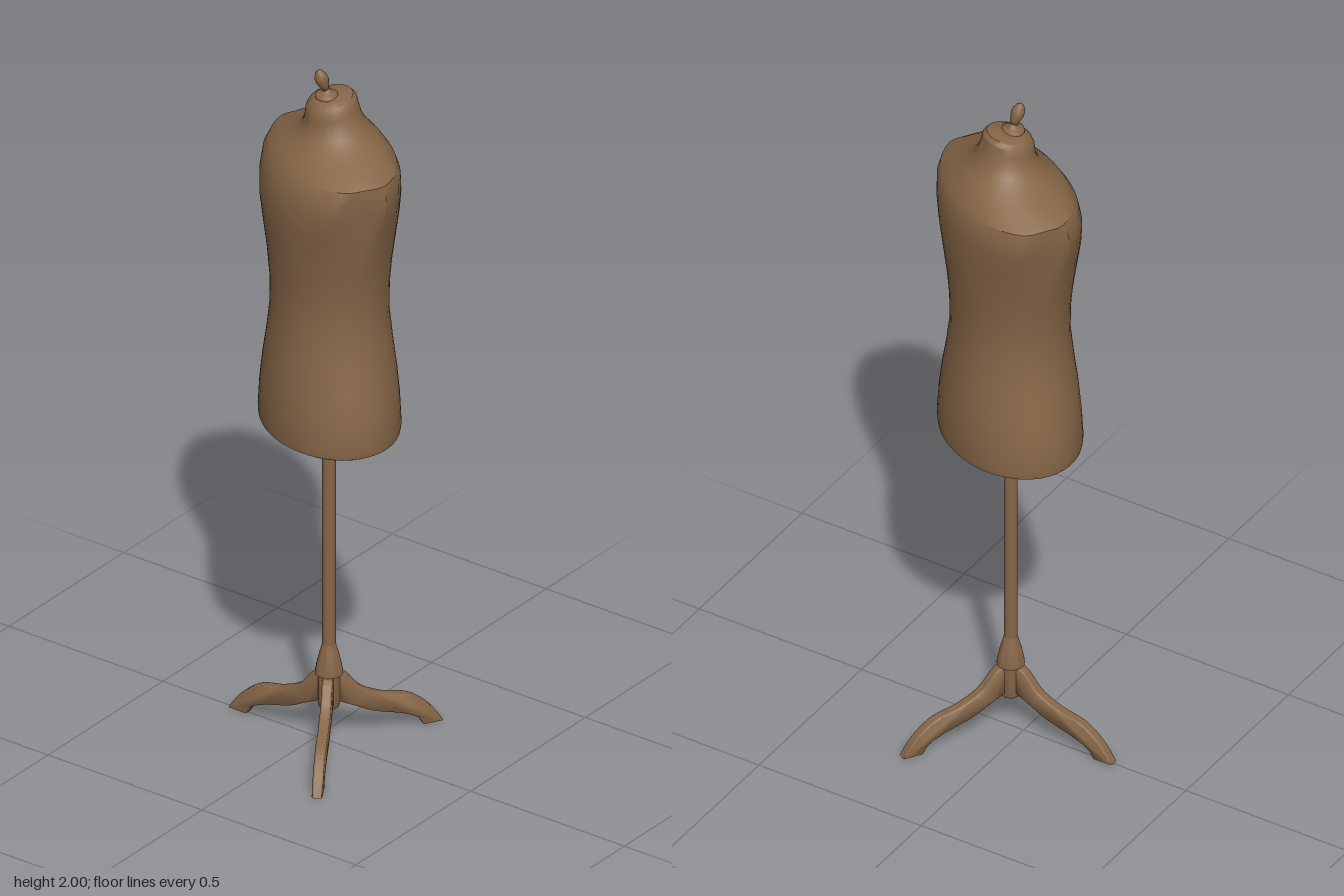
import * as THREE from 'three';
import { toCreasedNormals } from 'three/addons/utils/BufferGeometryUtils.js';

const V2 = (x, y) => new THREE.Vector2(x, y);

// Loft of elliptical rings; each row: [y, half width, half depth, width limit, z offset, tilt]
function loft(rows, n = 48) {
  const pos = [], idx = [];
  for (const [y, a, b, limit, z0, tilt] of rows) {
    for (let i = 0; i < n; i++) {
      const t = (i / n) * Math.PI * 2;
      const x = THREE.MathUtils.clamp(a * Math.cos(t), -limit, limit);
      const z = b * Math.sin(t);
      pos.push(x, y - tilt * z, z + z0);
    }
  }
  for (let r = 0; r < rows.length - 1; r++) {
    for (let i = 0; i < n; i++) {
      const p = r * n + i, q = r * n + (i + 1) % n;
      idx.push(p, p + n, q, q, p + n, q + n);
    }
  }
  const g = new THREE.BufferGeometry();
  g.setAttribute('position', new THREE.Float32BufferAttribute(pos, 3));
  g.setIndex(idx);
  return toCreasedNormals(g, 0.5);
}

export function createModel() {
  const model = new THREE.Group();
  const brown = new THREE.MeshStandardMaterial({ color: 0x866647 });
  brown.name = 'warm brown';

  const add = (parent, name, geometry) => {
    const mesh = new THREE.Mesh(geometry, brown);
    mesh.name = name;
    parent.add(mesh);
    return mesh;
  };

  // Everything stands on one axis; the bust is turned on it
  const stand = new THREE.Group();
  stand.name = 'stand';
  stand.position.x = 0.04;
  const bust = new THREE.Group();
  bust.name = 'bust';
  bust.position.x = 0.042;
  bust.rotation.y = THREE.MathUtils.degToRad(-33);
  model.add(stand, bust);

  // Torso with flat armholes at the shoulders
  add(bust, 'torso', loft([
    [0.952, 0.001, 0.001, 1, 0, 0],
    [0.952, 0.228, 0.168, 1, 0, 0],
    [0.958, 0.238, 0.177, 1, 0, 0],
    [0.975, 0.241, 0.179, 1, 0, 0],
    [1.05, 0.232, 0.176, 1, 0, 0],
    [1.13, 0.216, 0.17, 1, 0, 0],
    [1.21, 0.196, 0.161, 1, 0, 0],
    [1.3, 0.182, 0.152, 1, 0, 0],
    [1.38, 0.184, 0.153, 1, 0, 0],
    [1.46, 0.196, 0.159, 1, 0, 0],
    [1.54, 0.213, 0.168, 0.212, 0, 0],
    [1.61, 0.232, 0.175, 0.222, 0, 0],
    [1.67, 0.252, 0.174, 0.232, -0.002, 0],
    [1.72, 0.258, 0.166, 0.238, -0.006, 0],
    [1.75, 0.248, 0.152, 0.236, -0.01, 0],
    [1.768, 0.212, 0.138, 0.212, -0.012, 0],
    [1.79, 0.164, 0.12, 1, -0.014, 0.02],
    [1.81, 0.125, 0.102, 1, -0.013, 0.05],
    [1.83, 0.097, 0.086, 1, -0.01, 0.1],
    [1.85, 0.081, 0.076, 1, -0.008, 0.18],
    [1.875, 0.073, 0.07, 1, -0.006, 0.25],
    [1.895, 0.069, 0.067, 1, -0.004, 0.28],
    [1.908, 0.06, 0.059, 1, -0.002, 0.26],
    [1.917, 0.042, 0.042, 1, 0, 0.2],
    [1.921, 0.001, 0.001, 1, 0, 0],
  ]));

  // Neck button and leaning finial
  const button = add(bust, 'neckButton', new THREE.LatheGeometry(
    [V2(0.031, 0), V2(0.03, 0.008), V2(0.022, 0.013), V2(0.011, 0.016), V2(0.01, 0.024), V2(0, 0.025)], 24));
  button.position.set(0, 1.914, 0.008);
  const finial = add(bust, 'finial', new THREE.LatheGeometry(
    [V2(0, 0), V2(0.009, 0.003), V2(0.013, 0.016), V2(0.018, 0.033), V2(0.017, 0.047), V2(0.01, 0.061), V2(0, 0.068)], 20));
  finial.position.set(0, 1.933, 0.01);
  finial.rotation.x = 0.33;

  // Pole, flared collar and hub
  const pole = add(stand, 'pole', new THREE.CylinderGeometry(0.018, 0.018, 0.7, 24));
  pole.position.y = 0.61;
  add(stand, 'collar', toCreasedNormals(new THREE.LatheGeometry(
    [V2(0, 0.105), V2(0.026, 0.105), V2(0.029, 0.115), V2(0.029, 0.2), V2(0.037, 0.203), V2(0.036, 0.215),
      V2(0.03, 0.245), V2(0.023, 0.272), V2(0.018, 0.29)], 24), 0.6));

  // Three curved legs cut from a side outline
  const outline = new THREE.Shape();
  outline.moveTo(0.015, 0.2);
  outline.splineThru([V2(0.045, 0.192), V2(0.09, 0.142), V2(0.15, 0.112), V2(0.225, 0.092), V2(0.28, 0.05), V2(0.314, 0.003)]);
  outline.lineTo(0.264, 0.003);
  outline.splineThru([V2(0.245, 0.028), V2(0.2, 0.049), V2(0.12, 0.073), V2(0.07, 0.098), V2(0.015, 0.125)]);
  outline.closePath();
  const legGeometry = new THREE.ExtrudeGeometry(outline, {
    depth: 0.016, curveSegments: 20, bevelSize: 0.003, bevelThickness: 0.006, bevelSegments: 2,
  });
  legGeometry.translate(0, 0, -0.008);
  const legShape = toCreasedNormals(legGeometry, 0.7);
  for (const [i, angle] of [59, 180, -59].entries()) {
    const leg = add(stand, 'leg' + (i + 1), legShape);
    leg.rotation.y = THREE.MathUtils.degToRad(angle);
  }
  return model;
}
